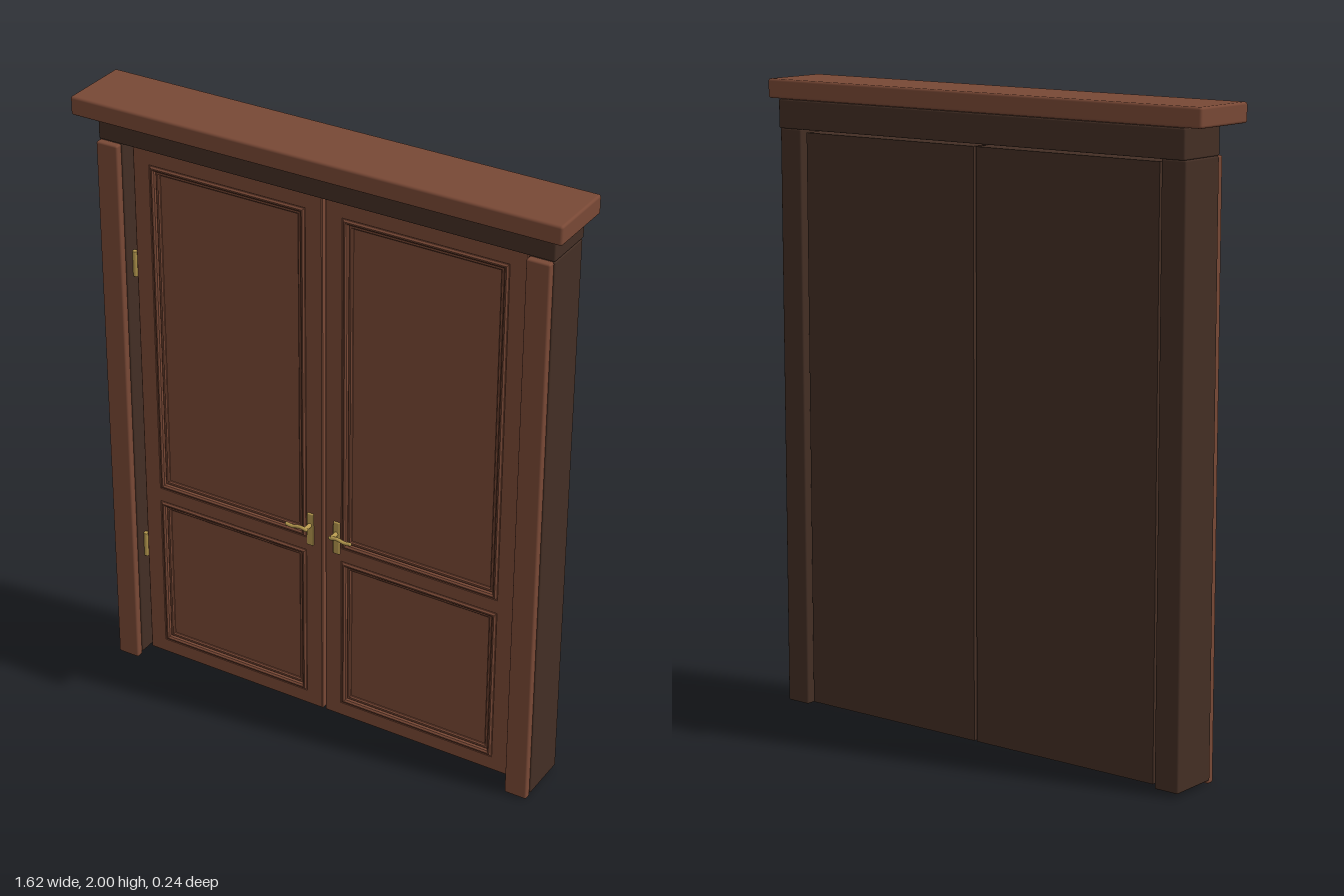
import * as THREE from 'three';
import { RoundedBoxGeometry } from 'three/addons/geometries/RoundedBoxGeometry.js';

const material = (name, color) => Object.assign(new THREE.MeshStandardMaterial({ color }), { name });

export function createModel() {
  const wood = material('warm brown wood', 0x784835);
  const dark = material('dark brown wood', 0x432e24);
  const brass = material('brass', 0xb5984e);
  const model = new THREE.Group();
  model.name = 'doubleDoor';

  const add = (parent, name, geometry, mat) => {
    const mesh = new THREE.Mesh(geometry, mat);
    mesh.name = name;
    parent.add(mesh);
    return mesh;
  };

  // Box given by its limits on each axis, with softened edges if r > 0
  const block = (parent, name, mat, [x0, x1], [y0, y1], [z0, z1], r = 0) => {
    const size = [x1 - x0, y1 - y0, z1 - z0];
    const geometry = r ? new RoundedBoxGeometry(...size, 2, r) : new THREE.BoxGeometry(...size);
    geometry.translate((x0 + x1) / 2, (y0 + y1) / 2, (z0 + z1) / 2);
    return add(parent, name, geometry, mat);
  };

  const trace = (path, x0, x1, y0, y1) =>
    path.moveTo(x0, y0).lineTo(x1, y0).lineTo(x1, y1).lineTo(x0, y1).closePath();

  // Flat board with rectangular openings and chamfered edges, from z0 to z1
  const frame = (parent, name, outer, holes, z0, z1, bevel) => {
    const shape = trace(new THREE.Shape(), ...outer);
    for (const h of holes) shape.holes.push(trace(new THREE.Path(), ...h));
    const geometry = new THREE.ExtrudeGeometry(shape, {
      depth: z1 - z0 - 2 * bevel, bevelEnabled: true, bevelThickness: bevel,
      bevelSize: bevel, bevelOffset: -bevel, bevelSegments: 1,
    });
    geometry.translate(0, 0, z0 + bevel);
    return add(parent, name, geometry, wood);
  };

  // Cornice and header
  block(model, 'cornice', wood, [-0.81, 0.81], [1.94, 2], [-0.114, 0.12], 0.008);
  block(model, 'header', dark, [-0.76, 0.76], [1.85, 1.94], [-0.12, 0.055], 0.005);

  for (const [side, label] of [[1, 'left'], [-1, 'right']]) {
    const span = (a, b) => (side > 0 ? [a, b] : [-b, -a]);

    // Jamb with its casing board
    block(model, label + 'Jamb', dark, span(0.677, 0.76), [0.012, 1.85], [-0.113, 0.053], 0.005);
    block(model, label + 'Casing', wood, span(0.681, 0.756), [0, 1.85], [0.05, 0.076], 0.006);

    // Door leaf: dark back slab and a wooden face with two openings
    const door = new THREE.Group();
    door.name = label + 'Door';
    model.add(door);
    block(door, 'backSlab', dark, span(0.005, 0.663), [0.02, 1.84], [-0.1, -0.004]);
    const openings = [[0.072, 0.605], [0.657, 1.785]];
    const [ox0, ox1] = span(0.065, 0.603);
    frame(door, 'stilesAndRails', [...span(0.005, 0.663), 0.02, 1.84],
      openings.map(([y0, y1]) => [ox0, ox1, y0, y1]), -0.004, 0.022, 0.003);

    // Panels with raised mouldings
    for (const [y0, y1] of openings) {
      block(door, 'panel', wood, [ox0, ox1], [y0, y1], [-0.006, 0.008]);
      frame(door, 'outerMoulding', [ox0, ox1, y0, y1],
        [[ox0 + 0.014, ox1 - 0.014, y0 + 0.014, y1 - 0.014]], 0, 0.027, 0.005);
      frame(door, 'innerMoulding', [ox0 + 0.014, ox1 - 0.014, y0 + 0.014, y1 - 0.014],
        [[ox0 + 0.028, ox1 - 0.028, y0 + 0.028, y1 - 0.028]], 0, 0.016, 0.004);
    }

    // Lever handle
    const handle = new THREE.Group();
    handle.name = label + 'Handle';
    handle.position.set(side * 0.047, 0, 0);
    door.add(handle);
    block(handle, 'handlePlate', brass, [-0.011, 0.011], [0.632, 0.747], [0.02, 0.028], 0.003);
    const neck = add(handle, 'handleNeck', new THREE.CylinderGeometry(0.007, 0.007, 0.032, 16), brass);
    neck.rotation.x = Math.PI / 2;
    neck.position.set(0, 0.706, 0.042);
    const path = new THREE.CatmullRomCurve3([[-0.004, 0.706], [0.02, 0.709], [0.045, 0.704], [0.066, 0.706]]
      .map(([x, y]) => new THREE.Vector3(side * x, y, 0.056)));
    add(handle, 'lever', new THREE.TubeGeometry(path, 16, 0.006, 10), brass);
    for (const x of [-0.004, 0.066]) {
      add(handle, 'leverEnd', new THREE.SphereGeometry(0.006, 10, 8), brass).position.set(side * x, 0.706, 0.056);
    }

    // Hinges in the gap beside the jamb
    for (const y of [0.42, 1.44]) {
      const hinge = add(model, label + 'Hinge', new THREE.CylinderGeometry(0.009, 0.009, 0.085, 12), brass);
      hinge.position.set(side * 0.67, y, 0.018);
    }
  }
  return model;
}
